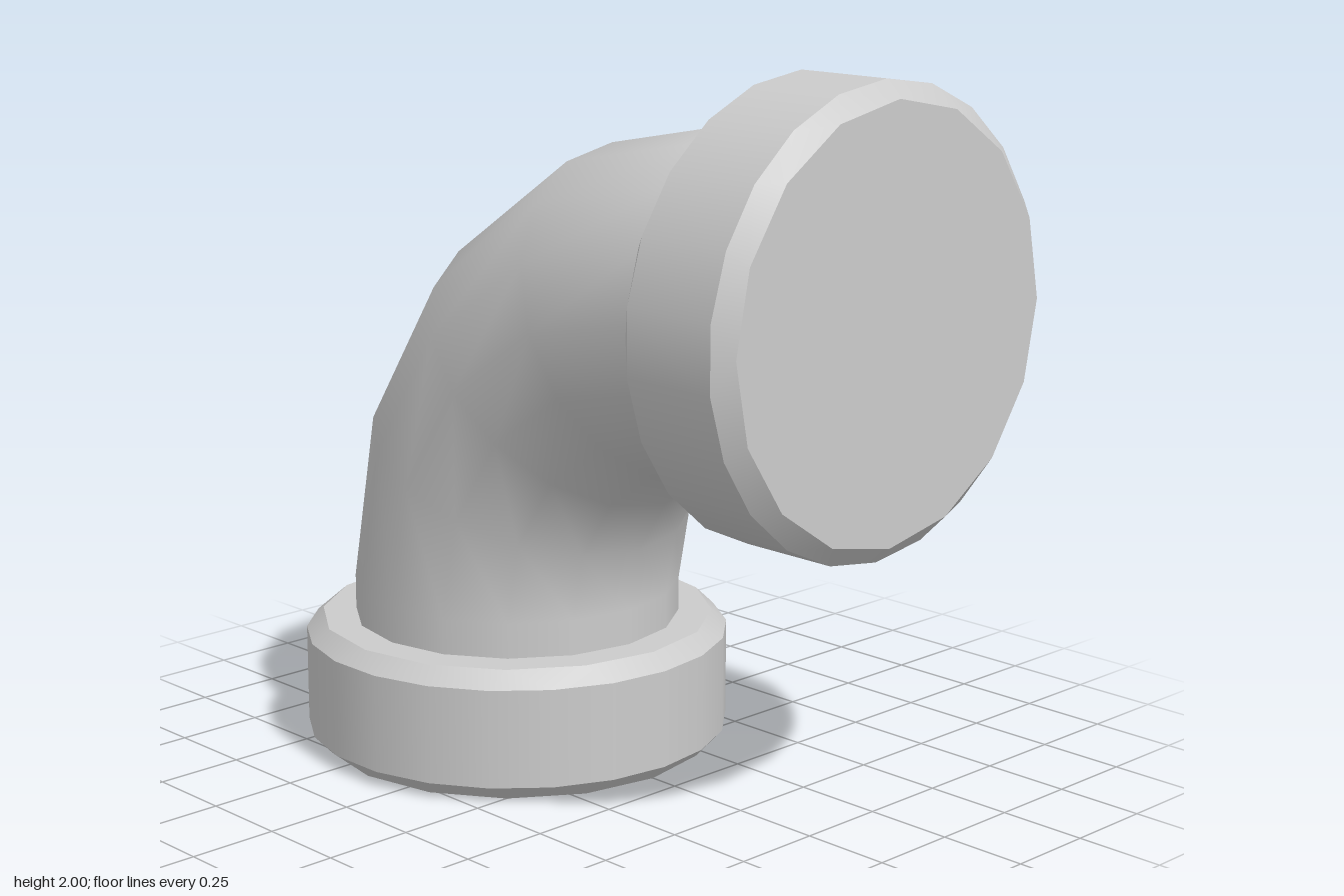
import * as THREE from 'three';

const material = new THREE.MeshStandardMaterial({ color: 0xcccccc });

const PIPE_R = 0.465;   // pipe radius
const BEND_R = 0.93;    // bend centreline radius
const AXIS_X = -0.395;  // axis of the vertical end
const AXIS_Y = 1.395;   // axis of the horizontal end
const COLLAR_H = 0.367;

function addMesh(parent, geometry, name) {
  const mesh = new THREE.Mesh(geometry, material);
  mesh.name = name;
  parent.add(mesh);
  return mesh;
}

// Conical band joining two rings that may have different numbers of sides
function band(lower, upper) {
  const positions = [], normals = [];
  const slope = new THREE.Vector2(upper.y - lower.y, lower.r - upper.r).normalize();
  const corner = (ring, k) => {
    const a = (k / ring.n) * Math.PI * 2, c = Math.cos(a), s = Math.sin(a);
    positions.push(ring.r * c, ring.y, ring.r * s);
    normals.push(slope.x * c, slope.y, slope.x * s);
  };
  let i = 0, j = 0;
  while (i < lower.n || j < upper.n) {
    const stepLower = (i + 0.5) / lower.n <= (j + 0.5) / upper.n;
    corner(lower, i);
    corner(upper, j);
    if (stepLower) corner(lower, ++i);
    else corner(upper, ++j);
  }
  const g = new THREE.BufferGeometry();
  g.setAttribute('position', new THREE.Float32BufferAttribute(positions, 3));
  g.setAttribute('normal', new THREE.Float32BufferAttribute(normals, 3));
  return g;
}

// Chamfered collar standing on y = 0
function makeCollar(name) {
  const collar = new THREE.Group();
  collar.name = name;
  const rings = [
    { r: 0.56, y: 0, n: 16 },
    { r: 0.605, y: 0.045, n: 22 },
    { r: 0.605, y: COLLAR_H - 0.045, n: 22 },
    { r: 0.56, y: COLLAR_H, n: 16 },
  ];
  ['outerChamfer', 'collarWall', 'innerChamfer'].forEach((part, k) =>
    addMesh(collar, band(rings[k], rings[k + 1]), part));
  addMesh(collar, new THREE.CircleGeometry(0.56, 16).rotateX(Math.PI / 2), 'endFace');
  addMesh(collar, new THREE.CircleGeometry(0.56, 16).rotateX(-Math.PI / 2), 'innerFace')
    .position.y = COLLAR_H;
  return collar;
}

// One pipe end: collar with the short straight pipe rising out of it
function makeEnd(name) {
  const end = new THREE.Group();
  end.name = name;
  end.add(makeCollar('collar'));
  const bottom = COLLAR_H - 0.04, top = AXIS_Y - BEND_R;
  const straight = new THREE.CylinderGeometry(PIPE_R, PIPE_R, top - bottom, 16, 1, true);
  addMesh(end, straight, 'straightPipe').position.y = (top + bottom) / 2;
  return end;
}

export function createModel() {
  const model = new THREE.Group();
  model.name = 'pipeElbow';

  // Lower end, standing upright
  const lowerEnd = makeEnd('lowerEnd');
  lowerEnd.position.x = AXIS_X;
  model.add(lowerEnd);

  // Upper end, lying on its side and facing +x
  const upperEnd = makeEnd('upperEnd');
  upperEnd.rotation.z = Math.PI / 2;
  upperEnd.position.set(1, AXIS_Y, 0);
  model.add(upperEnd);

  // Quarter bend in four steps
  const bend = new THREE.TorusGeometry(BEND_R, PIPE_R, 16, 4, Math.PI / 2).rotateZ(Math.PI / 2);
  addMesh(model, bend, 'bend').position.set(AXIS_X + BEND_R, AXIS_Y - BEND_R, 0);

  return model;
}
